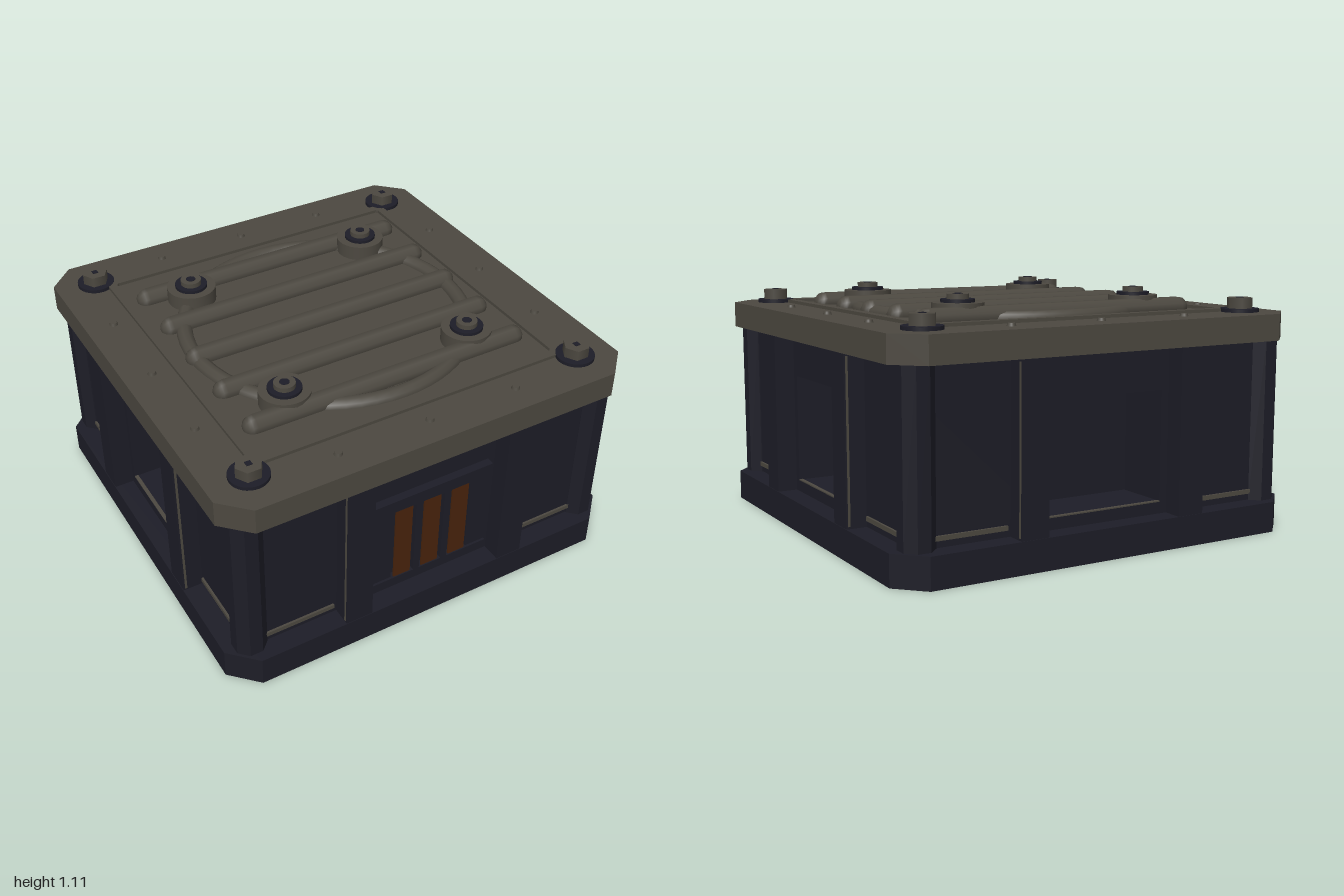
import * as THREE from 'three';

export function createModel() {
  const root = new THREE.Group();
  const mat = (name, color) => {
    const m = new THREE.MeshStandardMaterial({ color });
    m.name = name;
    return m;
  };
  const dark = mat('dark steel', 0x1d1d27);
  const olive = mat('olive grey metal', 0x4c4840);
  const amber = mat('amber glass', 0x48230c);

  const add = (parent, name, geo, material, x = 0, y = 0, z = 0) => {
    const m = new THREE.Mesh(geo, material);
    m.name = name;
    m.position.set(x, y, z);
    parent.add(m);
    return m;
  };
  const box = (parent, name, material, w, h, d, x, y, z) =>
    add(parent, name, new THREE.BoxGeometry(w, h, d), material, x, y, z);
  const group = (name) => {
    const g = new THREE.Group();
    g.name = name;
    root.add(g);
    return g;
  };

  // Floor plan (x, -z) extruded upward from y0 to y1
  const slab = (points, y0, y1, holes = []) => {
    const s = new THREE.Shape(points.map(([x, y]) => new THREE.Vector2(x, y)));
    s.holes = holes;
    const g = new THREE.ExtrudeGeometry(s, { depth: y1 - y0, bevelEnabled: false });
    g.rotateX(-Math.PI / 2);
    g.translate(0, y0, 0);
    return g;
  };
  // Chamfered square; each side may carry a notch of given depth (front, left, back, right)
  const plan = (r, c, notches = [0, 0, 0, 0]) => {
    const pts = [];
    notches.forEach((depth, i) => {
      const a = i * Math.PI / 2, cos = Math.cos(a), sin = Math.sin(a);
      const side = [[-r + c, -r]];
      if (depth) side.push([-0.3, -r], [-0.3, -r + depth], [0.3, -r + depth], [0.3, -r]);
      side.push([r - c, -r]);
      side.forEach(([x, y]) => pts.push([x * cos - y * sin, x * sin + y * cos]));
    });
    return pts;
  };

  // Main body: base, walls below, around and above the niches, lid
  const wall = 0.905;
  add(root, 'base', slab(plan(1, 0.12), 0, 0.14), dark);
  add(root, 'lowerWalls', slab(plan(wall, 0.08), 0.14, 0.195), dark);
  add(root, 'nichedWalls', slab(plan(wall, 0.08, [0, 0.26, 0.26, 0.26]), 0.195, 0.69), dark);
  add(root, 'upperWalls', slab(plan(wall, 0.08), 0.69, 0.88), dark);
  add(root, 'lid', slab(plan(1, 0.12), 0.88, 1), olive);

  // Ribs, corner posts and trims on all four sides
  for (let i = 0; i < 4; i++) {
    const side = group(['frontSide', 'leftSide', 'backSide', 'rightSide'][i]);
    side.rotation.y = i * Math.PI / 2;
    for (const s of [-1, 1]) {
      box(side, 'rib', dark, 0.13, 0.74, 0.11, s * 0.4, 0.51, 0.9425);
      box(side, 'ribEdgeTrim', olive, 0.003, 0.72, 0.01, s * 0.4665, 0.51, 0.985);
      box(side, 'panelTrim', olive, 0.35, 0.02, 0.012, s * 0.655, 0.18, wall + 0.004);
    }
    const post = add(side, 'cornerPost', new THREE.CylinderGeometry(0.078, 0.078, 0.74, 8).toNonIndexed(),
      dark, 0.88, 0.51, 0.88);
    post.geometry.rotateY(Math.PI / 8);
    post.geometry.computeVertexNormals();
    if (i > 0) {
      box(side, 'nicheLintel', dark, 0.6, 0.03, 0.03, 0, 0.675, 0.655);
      box(side, 'nicheSill', olive, 0.6, 0.005, 0.018, 0, 0.195, wall - 0.008);
    }
  }

  // Front grille with three amber panes
  const grille = group('grille');
  box(grille, 'grilleTop', dark, 0.6, 0.06, 0.06, 0, 0.66, 0.913);
  box(grille, 'grilleBottom', dark, 0.6, 0.04, 0.05, 0, 0.21, 0.913);
  box(grille, 'grilleTrim', olive, 0.62, 0.02, 0.012, 0, 0.18, wall + 0.004);
  for (const x of [-0.145, 0, 0.145]) {
    box(grille, 'amberPane', amber, 0.085, 0.39, 0.009, x, 0.425, 0.928);
  }
  for (const s of [-1, 1]) {
    box(grille, 'fin', dark, 0.03, 0.41, 0.05, s * 0.073, 0.43, 0.913);
    box(grille, 'grilleJamb', dark, 0.1, 0.41, 0.04, s * 0.25, 0.43, 0.907);
  }

  // Raised square border and rounded ring on the lid
  const squareHole = new THREE.Path(plan(0.735, 0.01).map(([x, y]) => new THREE.Vector2(x, y)));
  add(root, 'lidBorder', slab(plan(0.775, 0.01), 0.995, 1.015, [squareHole]), olive);
  const ring = add(root, 'lidRing', new THREE.TorusGeometry(0.652, 0.038, 10, 64), olive, 0, 0.997, 0);
  ring.rotation.x = Math.PI / 2;

  // Faceted bars across the lid
  for (let i = -2; i <= 2; i++) {
    const geo = new THREE.CapsuleGeometry(0.05, 1.31, 4, 8);
    geo.rotateY(Math.PI / 8);
    geo.rotateZ(Math.PI / 2);
    add(root, 'lidBar', geo, olive, 0, 1.01, i * 0.275);
  }

  // Bosses and corner bolts
  const disc = (r0, r1, h, n = 32) => new THREE.CylinderGeometry(r0, r1, h, n);
  for (const sx of [-1, 1]) for (const sz of [-1, 1]) {
    const boss = group('boss');
    boss.position.set(sx * 0.463, 0, sz * 0.463);
    add(boss, 'bossBase', disc(0.114, 0.114, 0.072), olive, 0, 1.034, 0);
    add(boss, 'bossWasher', disc(0.075, 0.075, 0.014), dark, 0, 1.077, 0);
    add(boss, 'bossBolt', disc(0.048, 0.048, 0.024, 24), olive, 0, 1.094, 0);
    add(boss, 'bossSocket', disc(0.022, 0.022, 0.004, 16), dark, 0, 1.106, 0);

    const bolt = group('cornerBolt');
    bolt.position.set(sx * 0.81, 0, sz * 0.81);
    add(bolt, 'boltWasher', disc(0.087, 0.087, 0.016), dark, 0, 1.008, 0);
    add(bolt, 'boltHead', disc(0.06, 0.06, 0.049, 6), olive, 0, 1.04, 0).rotation.y = Math.PI / 6;
    box(bolt, 'boltSocket', dark, 0.026, 0.004, 0.026, 0, 1.065, 0);
  }

  // Rivets around the lid edge
  for (const a of [-0.44, 0, 0.44]) for (const b of [-0.87, 0.87]) {
    add(root, 'rivet', disc(0.016, 0.02, 0.014, 12), olive, a, 1.006, b);
    add(root, 'rivet', disc(0.016, 0.02, 0.014, 12), olive, b, 1.006, a);
  }
  return root;
}
